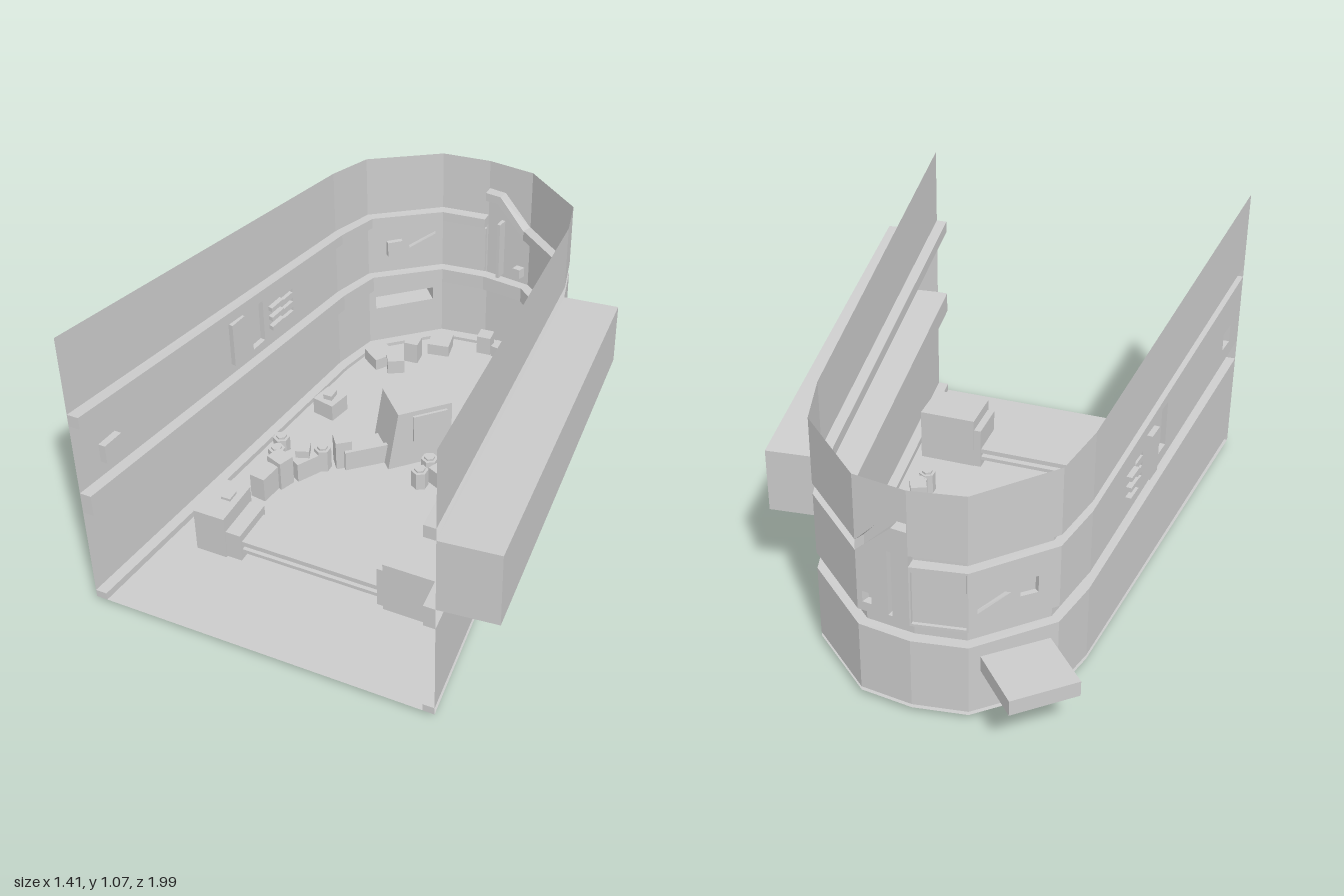
import * as THREE from 'three';
import { mergeGeometries } from 'three/addons/utils/BufferGeometryUtils.js';

const sheet = new THREE.MeshStandardMaterial({ color: 0xcccccc, flatShading: true, side: THREE.DoubleSide });
const V = (x, y, z) => new THREE.Vector3(x, y, z);

// Plan of the wall from the left front end round the back: outer line and inner ledge line [x, z]
const P = [[-0.71, 0.99], [-0.55, -0.48], [-0.505, -0.66], [-0.28, -0.86], [-0.1, -0.885], [0.08, -0.86], [0.31, -0.655], [0.355, -0.48], [0.51, 0.99]];
const Q = [[-0.67, 0.99], [-0.515, -0.465], [-0.475, -0.64], [-0.265, -0.825], [-0.1, -0.845], [0.065, -0.825], [0.28, -0.635], [0.32, -0.465], [0.47, 0.99]];

// Heights [at the front end, at the back end]; every edge slopes down to the back
const H = {
  top: [1.07, 0.838], upperTop: [0.785, 0.605], upperBottom: [0.74, 0.565],
  lowerTop: [0.47, 0.345], lowerBottom: [0.39, 0.285], base: [0.048, 0.033], floor: [0.02, 0.02],
};
const level = (name, i) => {
  const k = (0.99 - P[i][1]) / 1.875;
  return H[name][0] + (H[name][1] - H[name][0]) * k;
};

// Point on wall segment i: t along it, height y, depth d (inwards positive)
function wallPoint(i, t, y, d = 0) {
  const mix = (L, k) => L[i][k] + (L[i + 1][k] - L[i][k]) * t;
  const x = mix(P, 0), z = mix(P, 1);
  if (d >= 0) {
    const k = d / 0.04;
    return V(x + (mix(Q, 0) - x) * k, y, z + (mix(Q, 1) - z) * k);
  }
  const dx = P[i + 1][0] - P[i][0], dz = P[i + 1][1] - P[i][1], l = Math.hypot(dx, dz);
  return V(x - (dz / l) * d, y, z + (dx / l) * d);
}

function quad(a, b, c, d) {
  const g = new THREE.BufferGeometry().setFromPoints([a, b, c, a, c, d]);
  g.computeVertexNormals();
  return g;
}

// Flat sheet with holes lying in a wall segment
function panel(i, outline, holes = [], d = 0) {
  const s = new THREE.Shape(outline.map(p => new THREE.Vector2(...p)));
  holes.forEach(h => s.holes.push(new THREE.Path(h.map(p => new THREE.Vector2(...p)))));
  const g = new THREE.ShapeGeometry(s).toNonIndexed();
  const pos = g.attributes.position;
  for (let k = 0; k < pos.count; k++) {
    const p = wallPoint(i, pos.getX(k), pos.getY(k), d);
    pos.setXYZ(k, p.x, p.y, p.z);
  }
  g.deleteAttribute('uv');
  g.computeVertexNormals();
  return g;
}

// Pressed pocket: the outline pushed in or out, with its rim
function pocket(i, pts, d) {
  const rim = pts.map((p, k) => {
    const q = pts[(k + 1) % pts.length];
    return quad(wallPoint(i, ...p), wallPoint(i, ...q), wallPoint(i, ...q, d), wallPoint(i, ...p, d));
  });
  return mergeGeometries([panel(i, pts, [], d), ...rim]);
}

const rect = (t0, t1, y0, y1) => [[t0, y0], [t1, y0], [t1, y1], [t0, y1]];
const sideT = z => (0.99 - z) / 1.47;
const sideRect = (z0, z1, y0, y1) => rect(sideT(z1), sideT(z0), y0, y1);
const backT = x => (x + 0.1) / 0.18;
const backPts = list => list.map(([x, y]) => [backT(x), y]);
const strokes = (z, y) => [0, 1, 2].map(k => sideRect(z, z + 0.07, y + k * 0.04, y + k * 0.04 + 0.016));

// Pockets: [name, segment, row, outline, depth]
const pockets = [
  ['sideSquare', 0, 'band', sideRect(0.8, 0.88, 0.52, 0.59), 0.025],
  ['tallBar', 0, 'band', sideRect(0.12, 0.19, 0.46, 0.63), 0.02],
  ['tallBar', 0, 'band', sideRect(-0.01, 0.06, 0.44, 0.61), -0.02],
  ...strokes(-0.11, 0.47).map(s => ['shortStroke', 0, 'band', s, 0.02]),
  ...strokes(-0.19, 0.46).map(s => ['shortStroke', 0, 'band', s, -0.02]),
  ['cornerSquare', 2, 'band', rect(0.24, 0.44, 0.435, 0.495), 0.02],
  ['cornerTriangle', 2, 'band', [[0.54, 0.46], [0.9, 0.41], [0.9, 0.505]], 0.02],
  ['backBox', 2, 'lower', rect(0.09, 0.87, 0.188, 0.243), -0.22],
  ['door', 3, 'band', [[0.03, 0.355], [0.97, 0.353], [0.97, 0.545], [0.9, 0.557], [0.03, 0.56]], 0.012],
  ['raisedGroove', 4, 'back', backPts([[-0.098, 0.688], [-0.045, 0.688], [0.079, 0.57], [0.079, 0.606], [-0.03, 0.722], [-0.098, 0.722]]), 0.04],
  ['slot', 4, 'back', backPts([[-0.042, 0.36], [-0.028, 0.36], [-0.028, 0.6], [-0.042, 0.6]]), 0.04],
  ['backSquare', 4, 'back', backPts([[0.03, 0.38], [0.062, 0.38], [0.062, 0.42], [0.03, 0.42]]), 0.03],
];

export function createModel() {
  const root = new THREE.Group();
  const add = (name, geo, parent = root) => {
    const m = new THREE.Mesh(geo, sheet);
    m.name = name;
    parent.add(m);
    return m;
  };

  // Wall sheets, row by row
  const rows = { upper: ['upperTop', 'top'], band: ['lowerTop', 'upperBottom'], lower: ['base', 'lowerBottom'], back: ['lowerTop', 'top'] };
  for (const [row, [lo, hi]] of Object.entries(rows)) {
    const geos = [];
    for (let i = 0; i < 8; i++) {
      if (row === 'back' ? i !== 4 : i === 4 && row !== 'lower') continue;
      const outline = [[0, level(lo, i)], [1, level(lo, i + 1)], [1, level(hi, i + 1)], [0, level(hi, i)]];
      if (row === 'band' && i === 7) { // the right band is pushed out into a long box
        add('sideBox', pocket(i, outline, -0.195));
        continue;
      }
      geos.push(panel(i, outline, pockets.filter(p => p[1] === i && p[2] === row).map(p => p[3])));
    }
    add(row + 'Wall', mergeGeometries(geos));
  }
  pockets.forEach(([name, i, , pts, d]) => add(name, pocket(i, pts, d)));

  // Grooves pressed inwards round the wall, closed at their ends
  const groove = (name, hi, lo, skip) => {
    const geos = [];
    const corner = (L, i, h) => V(L[i][0], level(h, i), L[i][1]);
    for (let i = 0; i < 8; i++) {
      if (i === skip) continue;
      const [a, b, c, d] = [[P, hi], [Q, hi], [Q, lo], [P, lo]].map(([L, h]) => [corner(L, i, h), corner(L, i + 1, h)]);
      geos.push(quad(a[0], b[0], b[1], a[1]), quad(b[0], c[0], c[1], b[1]), quad(c[0], d[0], d[1], c[1]));
      if (i === 0 || i - 1 === skip) geos.push(quad(a[0], b[0], c[0], d[0]));
      if (i === 7 || i + 1 === skip) geos.push(quad(a[1], b[1], c[1], d[1]));
    }
    add(name, mergeGeometries(geos));
  };
  groove('upperGroove', 'upperTop', 'upperBottom', 4);
  groove('lowerGroove', 'lowerTop', 'lowerBottom', -1);
  groove('baseGroove', 'base', 'floor', -1);

  // Floor
  const floor = new THREE.ShapeGeometry(new THREE.Shape(P.map(([x, z]) => new THREE.Vector2(x, -z))));
  add('floor', floor.rotateX(-Math.PI / 2).translate(0, 0.02, 0));

  const box = (name, x, z, w, d, y0, y1, deg = 0) => {
    const m = add(name, new THREE.BoxGeometry(w, y1 - y0, d));
    m.position.set(x, (y0 + y1) / 2, z);
    m.rotation.y = THREE.MathUtils.degToRad(deg);
    return m;
  };

  // Low barrier across the front
  box('barrierLeftBlock', -0.47, 0.56, 0.115, 0.185, 0.02, 0.19);
  box('barrierLeftCap', -0.455, 0.54, 0.035, 0.045, 0.19, 0.2);
  box('barrierRightBlock', 0.283, 0.565, 0.215, 0.175, 0.02, 0.22);
  box('barrierLeftCollar', -0.385, 0.56, 0.055, 0.17, 0.02, 0.13);
  box('barrierRightCollar', 0.163, 0.56, 0.03, 0.16, 0.02, 0.18);
  box('barrierTopRail', -0.105, 0.56, 0.51, 0.15, 0.08, 0.098);
  box('barrierLowRail', -0.105, 0.56, 0.51, 0.15, 0.05, 0.064);

  // Machine with a leaning front, a framed side and a ramp
  const m = new THREE.Shape([[-0.13, 0], [0.115, 0], [0.115, 0.24], [-0.09, 0.24]].map(p => new THREE.Vector2(...p)));
  const machine = new THREE.Group();
  machine.name = 'machine';
  add('machineBody', new THREE.ExtrudeGeometry(m, { depth: 0.165, bevelEnabled: false }).translate(0, 0, -0.0825), machine);
  add('machineHatch', new THREE.BoxGeometry(0.13, 0.11, 0.012), machine).position.set(0.03, 0.165, 0.086);
  machine.position.set(-0.075, 0.02, -0.14);
  machine.rotation.y = Math.PI / 4;
  root.add(machine);
  box('ramp', -0.2, -0.04, 0.21, 0.085, 0.02, 0.08, 42);
  box('rampRail', -0.17, 0.0, 0.22, 0.015, 0.02, 0.1, 42);

  // Crates on the floor: x, z, width, depth, height, turn
  [
    [-0.235, -0.745, 0.085, 0.085, 0.05, 10], [-0.31, -0.645, 0.055, 0.055, 0.09, 5], [-0.42, -0.575, 0.09, 0.09, 0.05, -35],
    [-0.345, -0.555, 0.065, 0.065, 0.06, 30], [-0.07, -0.815, 0.055, 0.055, 0.08, 5], [0.01, -0.805, 0.085, 0.05, 0.05, -10],
    [0.125, -0.6, 0.09, 0.09, 0.05, -10], [0.245, -0.55, 0.08, 0.085, 0.05, 25], [0.27, -0.455, 0.06, 0.06, 0.09, 30],
    [0.285, -0.36, 0.05, 0.06, 0.08, 30], [-0.455, -0.21, 0.09, 0.09, 0.07, -12], [-0.455, -0.21, 0.035, 0.045, 0.09, 0],
    [0.13, -0.12, 0.06, 0.06, 0.1, 40], [0.11, -0.01, 0.085, 0.09, 0.07, -25], [0.19, -0.05, 0.05, 0.1, 0.06, 25],
    [0.27, 0, 0.055, 0.1, 0.07, -20], [0.275, 0.145, 0.06, 0.06, 0.11, 25], [0.335, 0.1, 0.05, 0.1, 0.06, 10],
    [-0.39, 0.145, 0.09, 0.09, 0.08, -30], [-0.385, 0.14, 0.05, 0.05, 0.11, 20], [-0.43, 0.23, 0.07, 0.06, 0.12, -20],
    [-0.455, 0.3, 0.06, 0.09, 0.1, -8], [-0.275, 0.045, 0.06, 0.06, 0.12, 38],
  ].forEach(([x, z, w, d, h, r]) => box('crate', x, z, w, d, 0.018, 0.018 + h, r));

  // Six-sided drums; the last one reaches through the floor
  [
    [-0.495, 0.1, 0.11], [-0.48, 0.165, 0.11], [-0.33, 0.095, 0.11], [0.035, -0.035, 0.09],
    [0.03, 0.04, 0.09], [0.245, -0.1, 0.08], [0.295, 0.205, 0.1], [0.285, 0.265, 0.1, 0],
  ].forEach(([x, z, top, y = 0.02]) => {
    const drum = add('drum', new THREE.CylinderGeometry(0.031, 0.031, top - y, 6));
    drum.position.set(x, (top + y) / 2, z);
    const lid = add('drumLid', new THREE.CylinderGeometry(0.02, 0.02, 0.008, 6));
    lid.position.set(x, top + 0.004, z);
  });
  return root;
}
